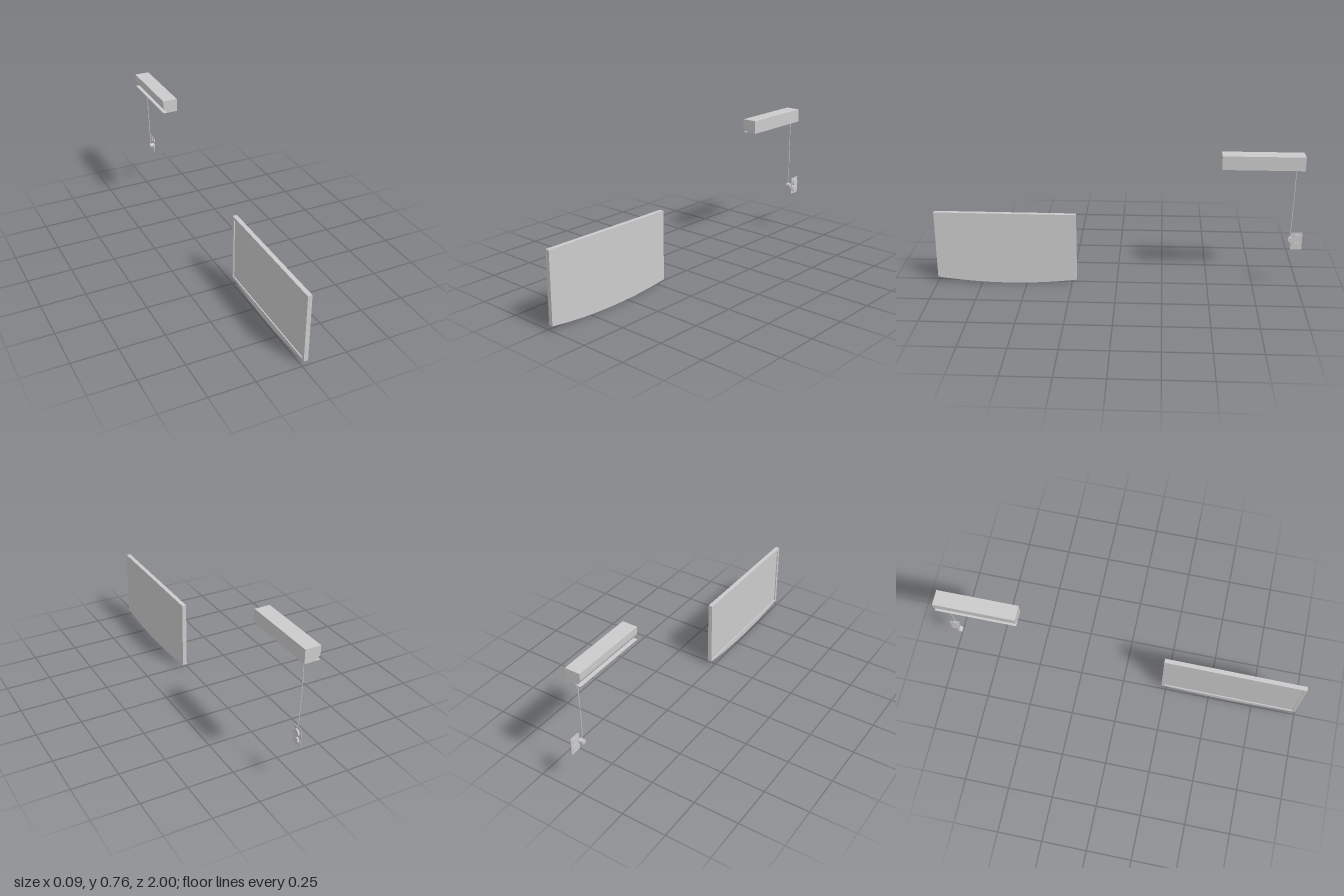
import * as THREE from 'three';

const grey = new THREE.MeshStandardMaterial({ color: 0xcccccc });
const greyThin = new THREE.MeshStandardMaterial({ color: 0xcccccc, side: THREE.DoubleSide });

function add(parent, name, geometry, material = grey) {
  const mesh = new THREE.Mesh(geometry, material);
  mesh.name = name;
  parent.add(mesh);
  return mesh;
}

// Extrude a z-y outline sideways, from x0 to x1 (outline X is -z)
function extrudeSideways(shape, x0, x1) {
  return new THREE.ExtrudeGeometry(shape, { depth: x1 - x0, bevelEnabled: false, curveSegments: 16 })
    .rotateY(Math.PI / 2).translate(x0, 0, 0);
}

// Flat screen panel with a bowed lower edge, facing -x
function screenPanel() {
  const panel = new THREE.Group();
  panel.name = 'screenPanel';
  const half = 0.389, top = 0.414, side = 0.027;
  const outline = () => {
    const s = new THREE.Shape();
    s.moveTo(-half, top);
    s.lineTo(-half, side);
    s.quadraticCurveTo(0, -side, half, side);
    s.lineTo(half, top);
    s.closePath();
    return s;
  };
  add(panel, 'screenBody', extrudeSideways(outline(), -0.006, 0.012));
  const bezel = outline();
  const inner = half - 0.016;
  bezel.holes.push(new THREE.Path([
    new THREE.Vector2(-inner, 0.036), new THREE.Vector2(inner, 0.036),
    new THREE.Vector2(inner, top - 0.017), new THREE.Vector2(-inner, top - 0.017),
  ]));
  add(panel, 'screenBezel', extrudeSideways(bezel, -0.012, -0.006));
  panel.position.set(0.0205, 0, 0.611);
  panel.rotation.y = -0.004;
  return panel;
}

// Long wall unit with a rounded lower front corner and a thin flap below
function wallUnit() {
  const unit = new THREE.Group();
  unit.name = 'wallUnit';
  const z0 = -0.99, z1 = -0.555, left = -0.048, right = 0.036, bottom = 0.685, top = 0.76;
  const s = new THREE.Shape();
  s.moveTo(left, top);
  s.lineTo(left, bottom + 0.042);
  s.absellipse(left + 0.046, bottom + 0.042, 0.046, 0.042, Math.PI, Math.PI * 1.5, false);
  s.lineTo(right, bottom);
  s.lineTo(right, top);
  s.closePath();
  const body = new THREE.ExtrudeGeometry(s, { depth: z1 - z0, bevelEnabled: false, curveSegments: 12 });
  add(unit, 'unitBody', body.translate(0, 0, z0));

  const flap = new THREE.PlaneGeometry(0.04, z1 - z0).rotateX(-Math.PI / 2);
  add(unit, 'airFlap', flap, greyThin).position.set(left + 0.02, bottom + 0.001, (z0 + z1) / 2);
  return unit;
}

// Wall socket with two round receptacles, plug and hanging cord
function socketAndCord() {
  const group = new THREE.Group();
  group.name = 'socketAndCord';
  add(group, 'socketPlate', new THREE.BoxGeometry(0.002, 0.1, 0.06)).position.set(0.037, 0.287, -0.97);
  for (const y of [0.265, 0.306]) {
    const disc = new THREE.CylinderGeometry(0.02, 0.02, 0.014, 20).rotateZ(Math.PI / 2);
    add(group, 'receptacle', disc).position.set(0.04, y, -0.97);
  }
  const plug = new THREE.CylinderGeometry(0.013, 0.013, 0.026, 16).rotateZ(Math.PI / 2);
  add(group, 'plug', plug).position.set(0.02, 0.289, -0.938);

  const path = new THREE.CatmullRomCurve3([
    [0.01, 0.69, -0.949], [0.009, 0.62, -0.946], [0.008, 0.54, -0.946],
    [0.01, 0.46, -0.943], [0.012, 0.4, -0.942], [0.013, 0.33, -0.939], [0.016, 0.29, -0.938],
  ].map(p => new THREE.Vector3(...p)));
  add(group, 'powerCord', new THREE.TubeGeometry(path, 40, 0.0022, 8));
  return group;
}

export function createModel() {
  const model = new THREE.Group();
  model.name = 'roomAppliances';
  model.add(screenPanel(), wallUnit(), socketAndCord());
  return model;
}
